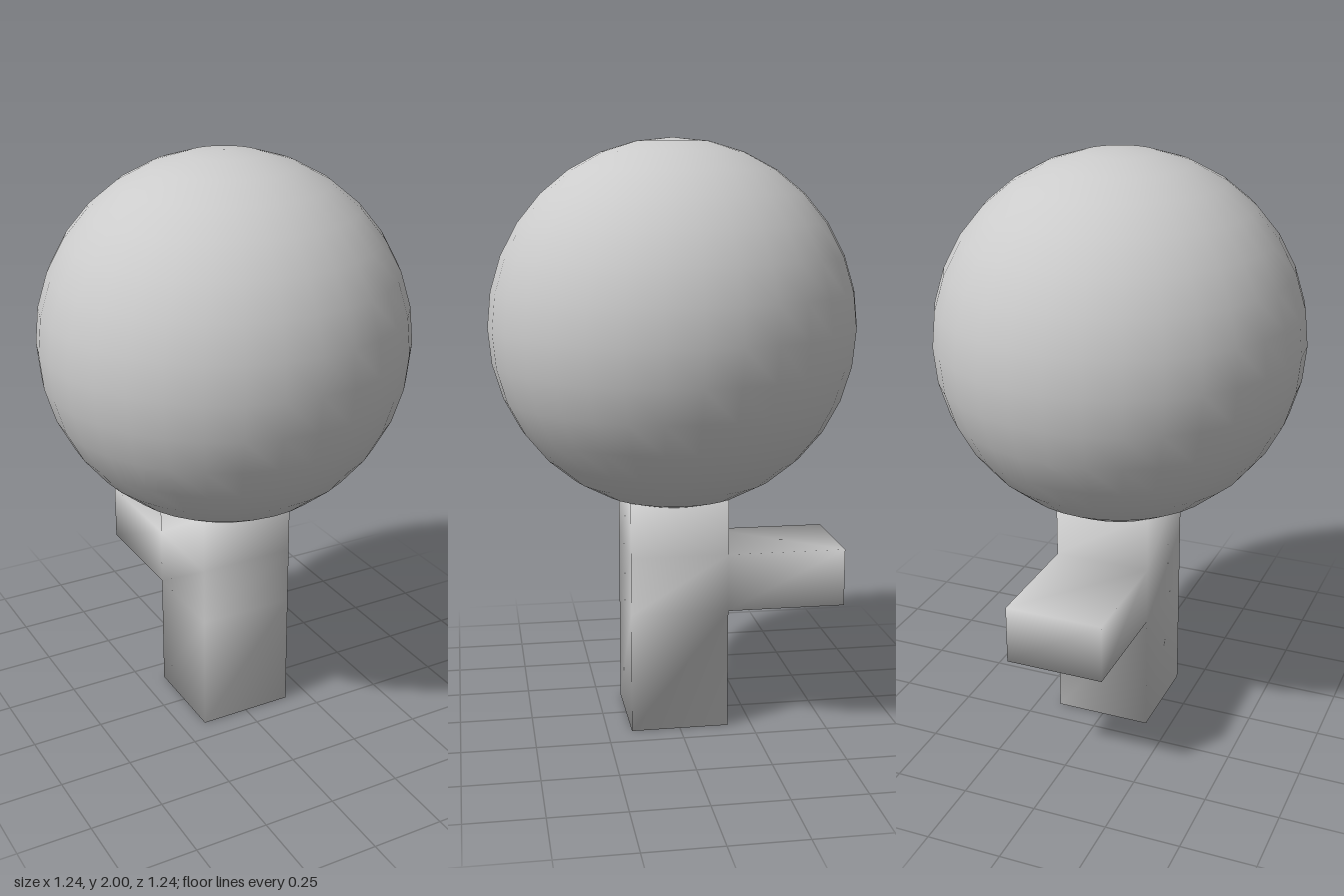
import * as THREE from 'three';

// Prism across x from a side outline of [z, y] points, with one smooth welded skin
function smoothPrism(outline, sidePanels, halfWidth) {
  const n = outline.length;
  const positions = [];
  for (const x of [halfWidth, -halfWidth]) {
    for (const [z, y] of outline) positions.push(x, y, z);
  }

  const index = [];
  const quad = (a, b, c, d) => index.push(a, b, c, a, c, d);
  for (let i = 0; i < n; i++) {
    const j = (i + 1) % n;
    quad(i, i + n, j + n, j);
  }
  for (const [a, b, c, d] of sidePanels) {
    quad(a, b, c, d);
    quad(d + n, c + n, b + n, a + n);
  }

  const geometry = new THREE.BufferGeometry();
  geometry.setAttribute('position', new THREE.Float32BufferAttribute(positions, 3));
  geometry.setIndex(index);
  geometry.computeVertexNormals();
  return geometry;
}

export function createModel() {
  const group = new THREE.Group();
  const material = new THREE.MeshStandardMaterial({ color: 0xcccccc });

  // Ball resting on the column
  const radius = 0.62;
  const ball = new THREE.Mesh(new THREE.SphereGeometry(radius, 32, 16), material);
  ball.name = 'ball';
  ball.position.y = 2 - radius;
  group.add(ball);

  // Square column with an arm of the same width reaching backwards
  const half = 0.167, armLow = 0.415, armHigh = 0.615, armEnd = -0.575, top = 0.82;
  const outline = [
    [half, 0], [-half, 0],
    [-half, armLow], [armEnd, armLow], [armEnd, armHigh], [-half, armHigh],
    [-half, top], [half, top],
    [half, armHigh], [half, armLow],
  ];
  const sidePanels = [[0, 1, 2, 9], [9, 2, 5, 8], [8, 5, 6, 7], [2, 3, 4, 5]];
  const column = new THREE.Mesh(smoothPrism(outline, sidePanels, half), material);
  column.name = 'columnWithArm';
  group.add(column);

  return group;
}
